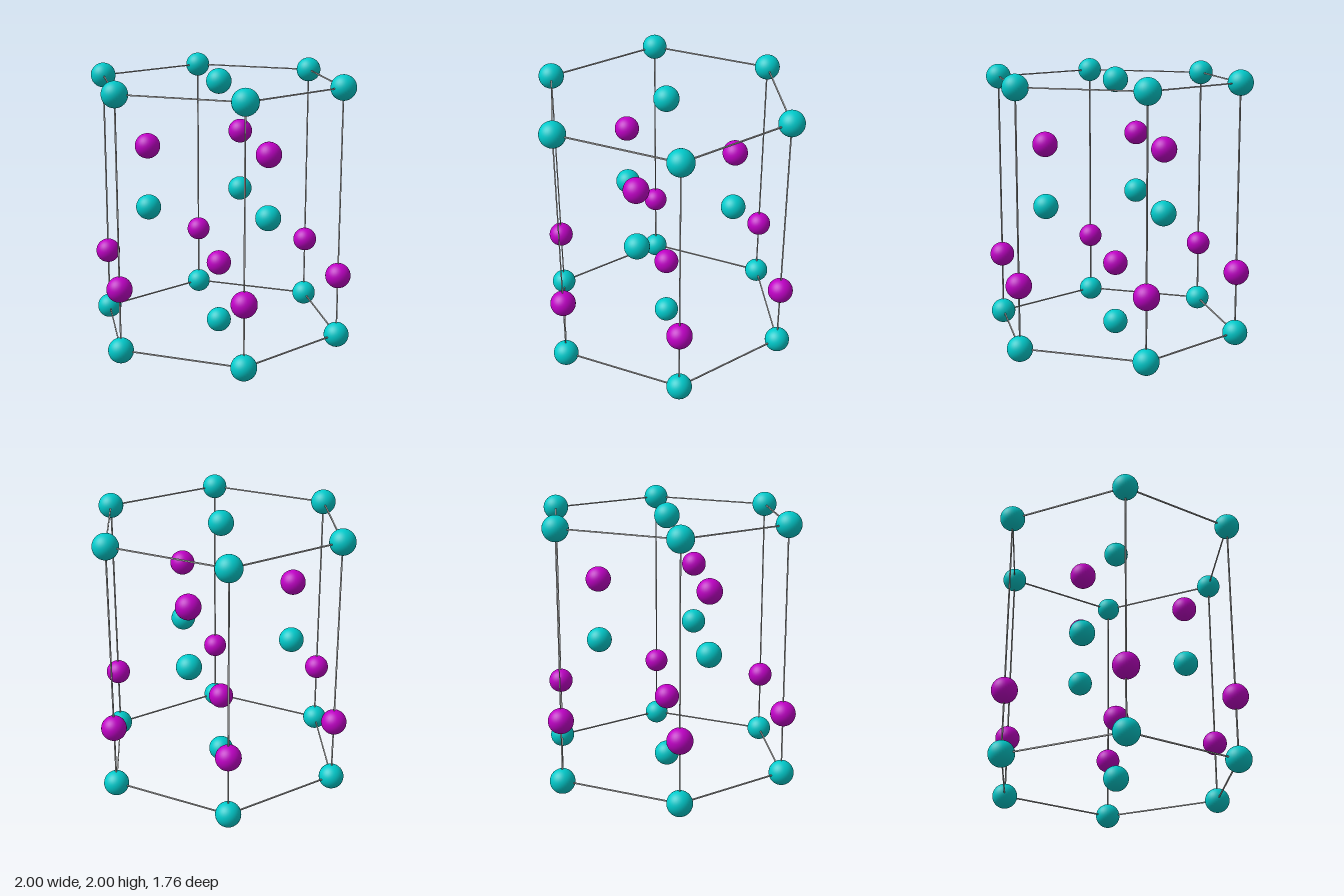
import * as THREE from 'three';

const R = 0.909;          // hexagon corner radius
const DEPTH = 0.79;       // z of the front and back edges
const BALL = 0.091;       // atom radius
const ROD = 0.009;        // frame rod thickness
const LEVEL = [0.091, 0.545, 1.0, 1.455, 1.909];

export function createModel() {
  const model = new THREE.Group();
  const teal = new THREE.MeshStandardMaterial({ color: 0x00cacb });
  teal.name = 'teal';
  const purple = new THREE.MeshStandardMaterial({ color: 0xc000c6 });
  purple.name = 'purple';
  const grey = new THREE.MeshStandardMaterial({ color: 0xbfbfbf });
  grey.name = 'lightGrey';

  // Lattice sites in plan, as [x, z]
  const corners = [
    [R, 0], [R / 2, DEPTH], [-R / 2, DEPTH],
    [-R, 0], [-R / 2, -DEPTH], [R / 2, -DEPTH],
  ];
  const centre = [[0, 0]];
  const inner = [[0, -0.497], [R / 2, 0.252], [-R / 2, 0.252]];

  const ballGeometry = new THREE.SphereGeometry(BALL, 32, 24);
  function addLayer(name, sites, y, material) {
    const layer = new THREE.Group();
    layer.name = name;
    for (const [x, z] of sites) {
      const atom = new THREE.Mesh(ballGeometry, material);
      atom.name = 'atom';
      atom.position.set(x, y, z);
      layer.add(atom);
    }
    model.add(layer);
  }

  // Atom layers from bottom to top
  addLayer('bottomLayer', [...corners, ...centre], LEVEL[0], teal);
  addLayer('lowerLayer', [...corners, ...centre], LEVEL[1], purple);
  addLayer('middleLayer', inner, LEVEL[2], teal);
  addLayer('upperLayer', inner, LEVEL[3], purple);
  addLayer('topLayer', [...corners, ...centre], LEVEL[4], teal);

  // Thin square rods along the edges of the hexagonal prism
  const frame = new THREE.Group();
  frame.name = 'cellFrame';
  const height = LEVEL[4] - LEVEL[0];
  corners.forEach(([x, z], i) => {
    const [nx, nz] = corners[(i + 1) % 6];
    const upright = new THREE.Mesh(new THREE.BoxGeometry(ROD, height, ROD), grey);
    upright.name = 'verticalRod';
    upright.position.set(x, LEVEL[0] + height / 2, z);
    frame.add(upright);

    const length = Math.hypot(nx - x, nz - z);
    for (const [name, y] of [['bottomRod', LEVEL[0]], ['topRod', LEVEL[4]]]) {
      const rod = new THREE.Mesh(new THREE.BoxGeometry(length, ROD, ROD), grey);
      rod.name = name;
      rod.position.set((x + nx) / 2, y, (z + nz) / 2);
      rod.rotation.y = Math.atan2(z - nz, nx - x);
      frame.add(rod);
    }
  });
  model.add(frame);

  return model;
}
